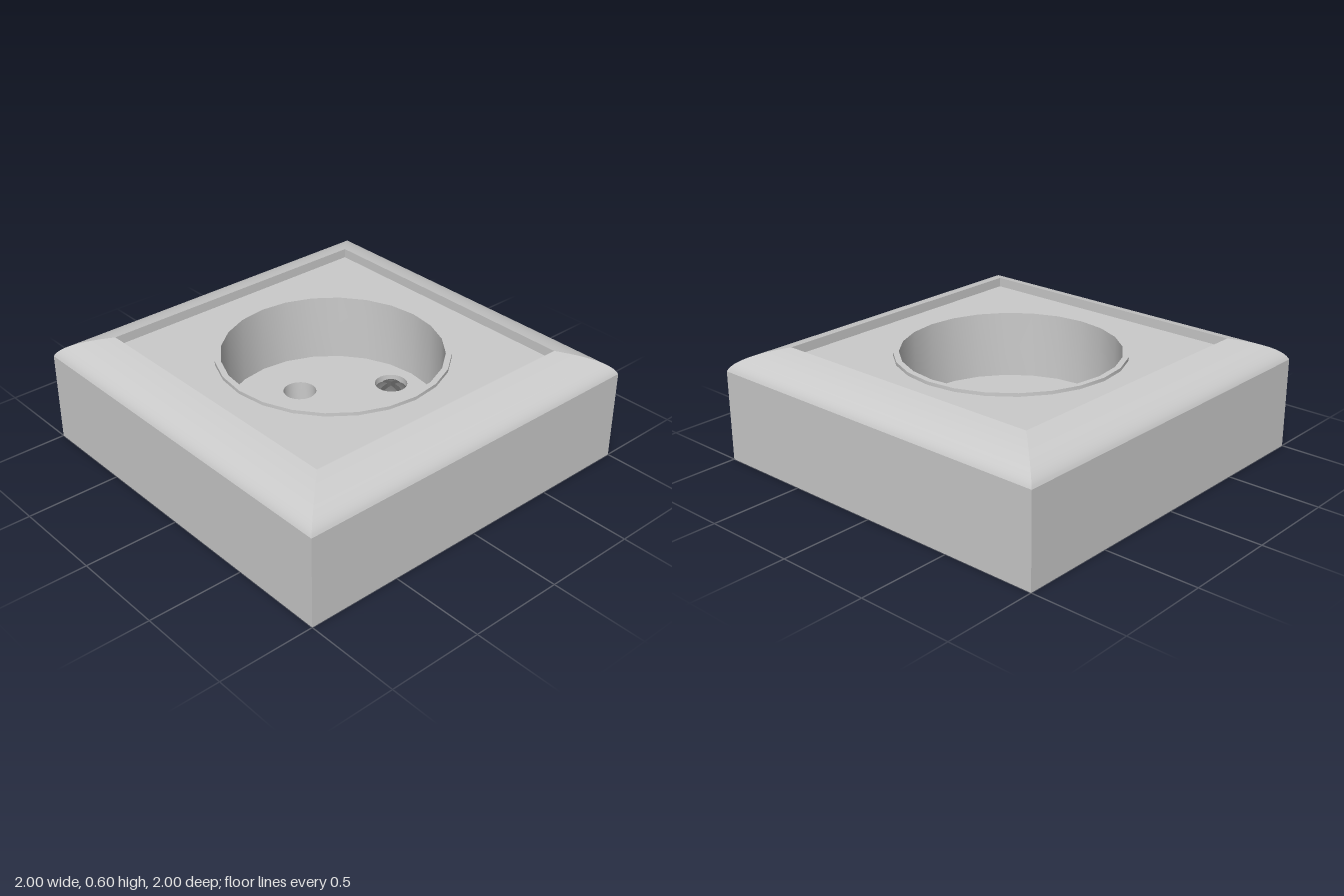
import * as THREE from 'three';
import { toCreasedNormals } from 'three/addons/utils/BufferGeometryUtils.js';

const SIDES = 24;
const PANEL_Y = 0.55, FLOOR_Y = 0.21;
const WELL_R = 0.56, RIM_R = 0.59, HOLE_R = 0.086;
const HOLES = [[-0.26, 0], [0.26, 0], [0, -0.41]]; // x, z: two pin holes and the screw

const v2 = (x, y) => new THREE.Vector2(x, y);

function ring(radius, cx = 0, cz = 0) {
  const points = [];
  for (let i = 0; i < SIDES; i++) {
    const a = (i / SIDES) * Math.PI * 2;
    points.push(v2(cx + radius * Math.cos(a), -cz + radius * Math.sin(a)));
  }
  return points;
}

function flat(shape, y) {
  return new THREE.ShapeGeometry(shape).rotateX(-Math.PI / 2).translate(0, y, 0);
}

function turned(points, crease = 0.6) {
  return toCreasedNormals(new THREE.LatheGeometry(points, SIDES), crease);
}

export function createModel() {
  const group = new THREE.Group();
  const grey = new THREE.MeshStandardMaterial({ color: 0xcccccc });
  const dark = new THREE.MeshStandardMaterial({ color: 0x707070, side: THREE.DoubleSide });

  const add = (name, geometry, material = grey, parent = group) => {
    const mesh = new THREE.Mesh(geometry, material);
    mesh.name = name;
    parent.add(mesh);
    return mesh;
  };

  // Square frame: a profile turned in four steps, giving mitred corners
  const shoulder = new THREE.QuadraticBezierCurve(v2(1, 0.48), v2(0.97, 0.555), v2(0.77, 0.6));
  const profile = [v2(0, 0), v2(1, 0), ...shoulder.getPoints(14), v2(0.77, PANEL_Y)];
  const frame = new THREE.LatheGeometry(
    profile.map((p) => v2(p.x * Math.SQRT2, p.y)), 4, Math.PI / 4);
  add('frame', toCreasedNormals(frame, 0.26));

  // Recessed panel with the round opening
  const panel = new THREE.Shape([v2(-0.77, -0.77), v2(0.77, -0.77), v2(0.77, 0.77), v2(-0.77, 0.77)]);
  panel.holes.push(new THREE.Path(ring(RIM_R)));
  add('panel', flat(panel, PANEL_Y));

  // Raised rim and the wall of the well
  add('wellWall', turned([
    v2(RIM_R, PANEL_Y), v2(RIM_R, PANEL_Y + 0.018),
    v2(WELL_R, PANEL_Y + 0.018), v2(WELL_R, FLOOR_Y),
  ]));

  // Well floor, pierced by the pin holes and the screw hole
  const floor = new THREE.Shape(ring(WELL_R));
  HOLES.forEach(([x, z]) => floor.holes.push(new THREE.Path(ring(HOLE_R, x, z))));
  add('wellFloor', flat(floor, FLOOR_Y));

  HOLES.forEach(([x, z], i) => {
    const bottom = i < 2 ? 0.05 : 0.14;
    const hole = add(i < 2 ? 'pinHole' : 'screwHole',
      turned([v2(HOLE_R, FLOOR_Y), v2(HOLE_R, bottom), v2(0, bottom)]));
    hole.position.set(x, 0, z);
  });

  // Screw head: four domed quarters parted by a cross slot
  const screw = new THREE.Group();
  screw.name = 'screw';
  screw.position.set(0, 0.145, -0.41);
  group.add(screw);
  add('slotFloor', new THREE.CylinderGeometry(0.082, 0.082, 0.012, SIDES), dark, screw);
  const dome = [v2(0.068, 0)];
  for (let i = 0; i <= 6; i++) {
    const a = (i / 6) * Math.PI / 2;
    dome.push(v2(0.068 * Math.cos(a), 0.02 + 0.042 * Math.sin(a)));
  }
  const side = new THREE.ShapeGeometry(new THREE.Shape([v2(0, 0), ...dome]));
  for (let i = 0; i < 4; i++) {
    const turn = new THREE.Group();
    turn.name = 'screwQuarter';
    turn.rotation.y = i * Math.PI / 2;
    screw.add(turn);
    const quarter = new THREE.Group();
    quarter.position.set(0.014, 0, 0.014);
    turn.add(quarter);
    add('dome', new THREE.LatheGeometry(dome, 6, 0, Math.PI / 2), dark, quarter);
    add('slotWall', side, dark, quarter);
    add('slotWall', side.clone().rotateY(-Math.PI / 2), dark, quarter);
  }

  return group;
}
